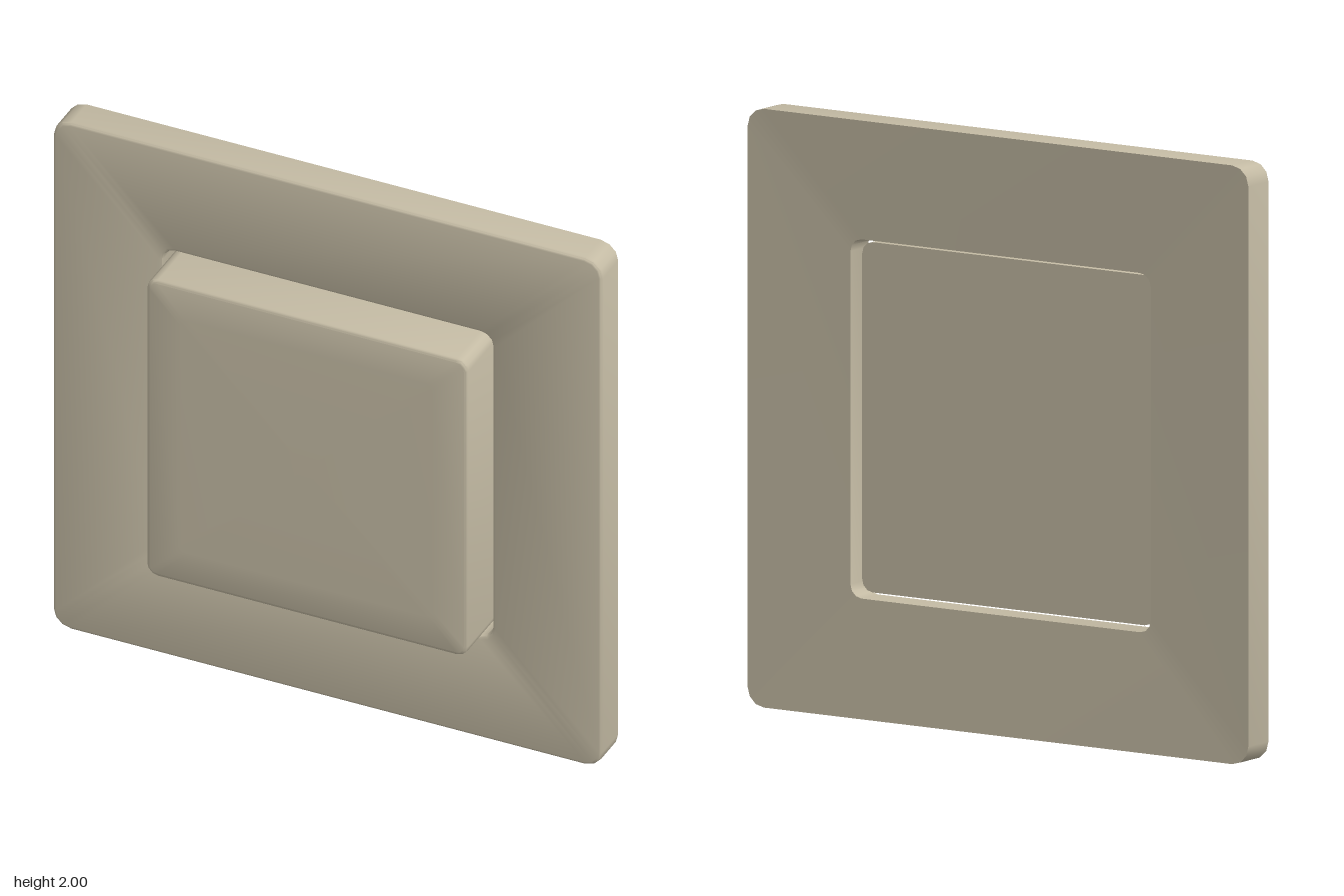
import * as THREE from 'three';
import { toCreasedNormals } from 'three/addons/utils/BufferGeometryUtils.js';

const CORNER_STEPS = 3;

// Rounded square outline, counter-clockwise seen from +z
function ring([half, radius, z]) {
  const points = [];
  for (let corner = 0; corner < 4; corner++) {
    const start = corner * Math.PI / 2;
    const cx = (corner === 0 || corner === 3 ? 1 : -1) * (half - radius);
    const cy = (corner < 2 ? 1 : -1) * (half - radius);
    for (let i = 0; i <= CORNER_STEPS; i++) {
      const a = start + (i / CORNER_STEPS) * Math.PI / 2;
      points.push([cx + radius * Math.cos(a), cy + radius * Math.sin(a), z]);
    }
  }
  return points;
}

// Skin a series of [half size, corner radius, z] outlines
function loft(sections) {
  const rings = sections.map(ring);
  const n = rings[0].length;
  const index = [];
  for (let s = 0; s < rings.length - 1; s++) {
    for (let i = 0; i < n; i++) {
      const j = (i + 1) % n;
      const a = s * n + i, b = s * n + j, c = a + n, d = b + n;
      index.push(a, b, d, a, d, c);
    }
  }
  const geometry = new THREE.BufferGeometry();
  geometry.setAttribute('position', new THREE.Float32BufferAttribute(rings.flat(2), 3));
  geometry.setIndex(index);
  return toCreasedNormals(geometry, 0.6);
}

// Quarter-round edge running from a side wall onto a front face
function roundedEdge(half, radius, front, size, steps = 3) {
  const sections = [];
  for (let i = 0; i <= steps; i++) {
    const a = (i / steps) * Math.PI / 2;
    const inset = size * (1 - Math.cos(a));
    sections.push([half - inset, radius - inset, front - size * (1 - Math.sin(a))]);
  }
  return sections;
}

export function createModel() {
  const group = new THREE.Group();
  const plastic = new THREE.MeshStandardMaterial({ color: 0xc4bba4 });
  plastic.name = 'beige plastic';

  const add = (name, geometry) => {
    const mesh = new THREE.Mesh(geometry, plastic);
    mesh.name = name;
    mesh.position.y = 1;
    group.add(mesh);
  };

  // Square surround: outer wall, front, opening, then the slightly dished back
  add('frame', loft([
    [1, 0.065, -0.145],
    ...roundedEdge(1, 0.065, -0.02, 0.012),
    [0.613, 0.056, -0.02],
    [0.604, 0.048, -0.024],
    [0.6, 0.044, -0.033],
    [0.6, 0.044, -0.129],
    [1, 0.065, -0.145],
  ]));

  // Rocker block with a softly domed front
  const face = 0.572, dome = 0.007;
  const domeSections = [0.8, 0.6, 0.4, 0.2, 0].map((t) =>
    [face * t, 0.03 * t, 0.145 - dome * t * t]);
  add('rocker', loft([
    [0, 0, -0.083],
    [0.585, 0.042, -0.083],
    ...roundedEdge(0.585, 0.042, 0.145 - dome, 0.013),
    ...domeSections,
  ]));

  return group;
}
